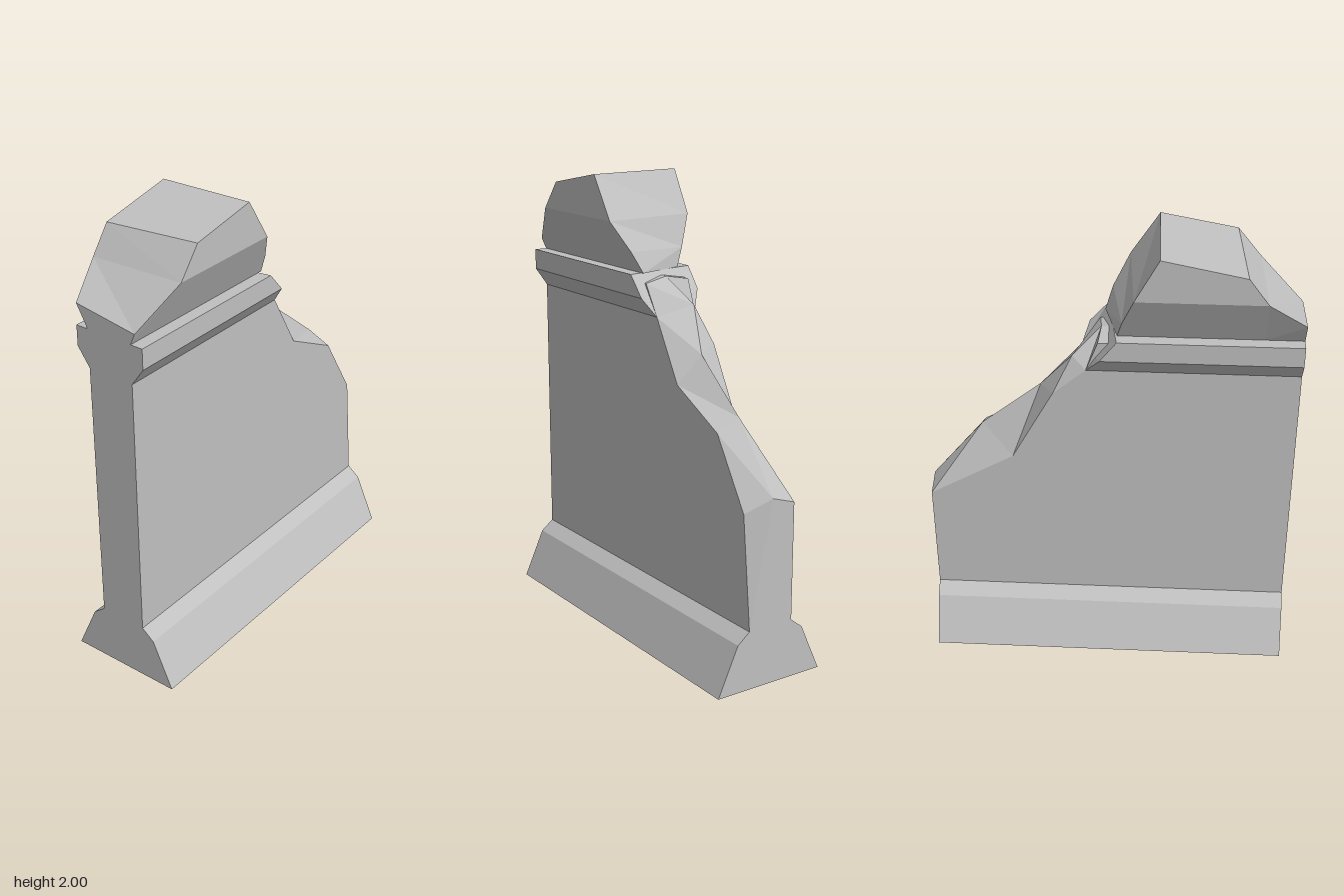
import * as THREE from 'three';

const stone = new THREE.MeshStandardMaterial({ color: 0xc0c0c0 });
stone.name = 'pale grey stone';

// Joins rings of [x, y, z] points from left to right and closes both ends.
// Each ring runs from the front bottom, over the top, to the back bottom.
function loft(name, rings) {
  const positions = [];
  const p = new THREE.Vector3(), q = new THREE.Vector3(), r = new THREE.Vector3();
  const triangle = (a, b, c) => {
    p.fromArray(a); q.fromArray(b).sub(p); r.fromArray(c).sub(p);
    if (q.cross(r).length() > 1e-7) positions.push(...a, ...b, ...c);
  };
  const n = rings[0].length;
  for (let i = 0; i < rings.length - 1; i++) {
    for (let j = 0; j < n; j++) {
      const k = (j + 1) % n;
      triangle(rings[i][j], rings[i + 1][j], rings[i + 1][k]);
      triangle(rings[i][j], rings[i + 1][k], rings[i][k]);
    }
  }
  const first = rings[0], last = rings[rings.length - 1];
  for (let k = 1; k < n - 1; k++) {
    triangle(first[0], first[k], first[k + 1]);
    triangle(last[0], last[k + 1], last[k]);
  }
  const geometry = new THREE.BufferGeometry();
  geometry.setAttribute('position', new THREE.Float32BufferAttribute(positions, 3));
  geometry.computeVertexNormals();
  const mesh = new THREE.Mesh(geometry, stone);
  mesh.name = name;
  return mesh;
}

const LEFT = -0.79, RIGHT = 0.79, HALF = 0.108;

// Flared plinth
function makePlinth() {
  const side = [[0.26, 0], [0.165, 0.21], [HALF, 0.255]];
  const profile = [...side, ...side.map(([z, y]) => [-z, y]).reverse()];
  return loft('plinth', [LEFT, RIGHT].map((x) => profile.map(([z, y]) => [x, y, z])));
}

// Wall panel; each row holds front [x, y], ridge [x, y, z] and back [x, y] of the broken edge
function makePanel() {
  const edge = [
    [[LEFT, 1.59], [LEFT, 1.59, 0], [LEFT, 1.59]],
    [[0.05, 1.56], [0.04, 1.58, 0], [0.05, 1.56]],
    [[0.13, 1.43], [0.16, 1.47, -0.06], [0.1, 1.43]],
    [[0.28, 1.17], [0.3, 1.29, 0], [0.24, 1.31]],
    [[0.56, 1.03], [0.56, 1.08, 0], [0.42, 0.98]],
    [[0.74, 0.74], [RIGHT, 0.8, 0], [RIGHT, 0.765]],
  ];
  return loft('wallPanel', edge.map(([f, ridge, b], i) => {
    const end = i === edge.length - 1;
    return [
      [end ? RIGHT : f[0], 0.255, HALF], [f[0], f[1], HALF], ridge,
      [b[0], b[1], -HALF], [b[0], 0.255, -HALF],
    ];
  }));
}

// Moulding below the coping, with a slanted broken end
function makeMoulding() {
  const profile = [[HALF, 1.43], [0.165, 1.51], [0.165, 1.6], [-0.165, 1.6], [-0.165, 1.51], [-HALF, 1.43]];
  const brokenX = [0.13, 0.1, 0.02, -0.03, 0.04, 0.1];
  return loft('moulding', [
    profile.map(([z, y]) => [LEFT, y, z]),
    profile.map(([z, y], i) => [brokenX[i], y, z]),
  ]);
}

// Coping stone; each row: front x, top y, eave y, z, then the same for the back
function makeCoping() {
  const rows = [
    [[LEFT, 1.65, 1.65, 0.13], [LEFT, 1.695, 1.695, -0.16]],
    [[-0.61, 1.815, 1.815, 0.21], [-0.63, 1.815, 1.815, -0.21]],
    [[-0.51, 1.94, 1.815, 0.21], [-0.545, 1.93, 1.815, -0.21]],
    [[-0.19, 2, 1.815, 0.21], [-0.2, 2, 1.815, -0.21]],
    [[-0.07, 1.815, 1.815, 0.21], [-0.1, 1.815, 1.815, -0.21]],
    [[0, 1.69, 1.69, 0.15], [-0.05, 1.68, 1.68, -0.145]],
  ];
  return loft('coping', rows.map(([f, b], i) => {
    const end = i === rows.length - 1;
    return [
      [end ? 0.03 : f[0], 1.6, HALF], [f[0], f[2], f[3]], [f[0], f[1], f[3]],
      [b[0], b[1], b[3]], [b[0], b[2], b[3]], [end ? -0.03 : b[0], 1.6, -HALF],
    ];
  }));
}

export function createModel() {
  const group = new THREE.Group();
  group.name = 'brokenStoneWall';
  group.add(makePlinth(), makePanel(), makeMoulding(), makeCoping());
  return group;
}
